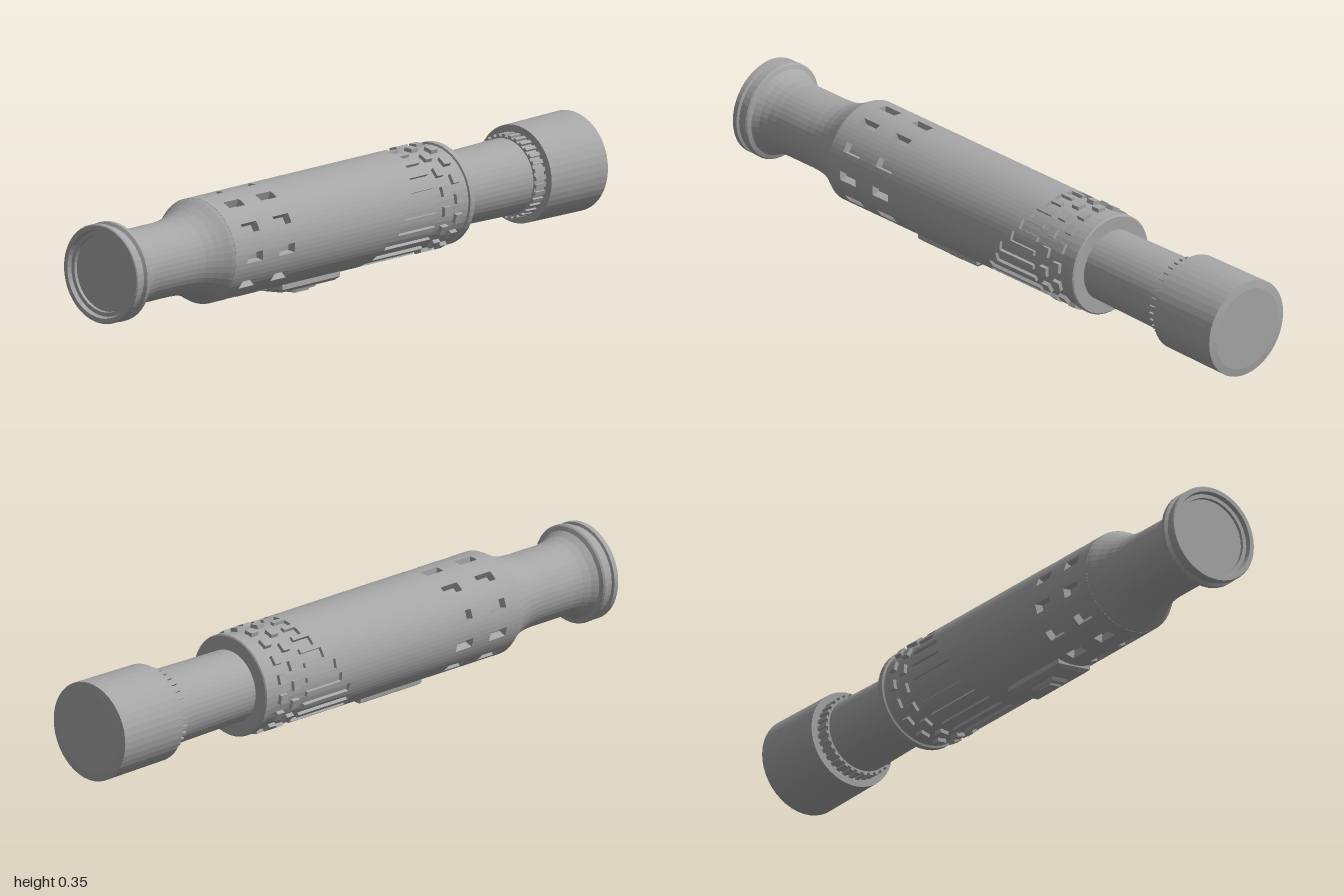
import * as THREE from 'three';

const AXIS_Y = 0.187;
const COLUMNS = 66;
const metal = new THREE.MeshStandardMaterial({ color: 0xa6a6a6 });
metal.name = 'grey metal';

function flat(geometry) {
  const g = geometry.index ? geometry.toNonIndexed() : geometry;
  g.computeVertexNormals();
  return g;
}

function add(parent, name, geometry) {
  const mesh = new THREE.Mesh(flat(geometry), metal);
  mesh.name = name;
  parent.add(mesh);
  return mesh;
}

// Turned part along z; profile is [z, radius] from back to front
function turned(profile, sides = 44) {
  const points = profile.map(([z, r]) => new THREE.Vector2(r, z));
  return new THREE.LatheGeometry(points, sides).rotateX(Math.PI / 2);
}

// Sleeve made of cells, each with its own radius, and walls between them
function sleeve(zs, radius, base) {
  const pos = [];
  const p = (i, z, r) => {
    const a = (i / COLUMNS) * Math.PI * 2;
    return [r * Math.sin(a), r * Math.cos(a), z];
  };
  const quad = (a, b, c, d) => pos.push(...a, ...b, ...c, ...a, ...c, ...d);
  const last = zs.length - 1;
  const cell = (i, k) => (k < 0 || k >= last ? base : radius(i % COLUMNS, (zs[k] + zs[k + 1]) / 2));
  for (let i = 0; i < COLUMNS; i++) {
    for (let k = -1; k < last; k++) {
      const r = cell(i, k), side = cell(i + 1, k), next = cell(i, k + 1);
      const z0 = zs[k], z1 = zs[k + 1];
      if (k >= 0) {
        quad(p(i, z0, r), p(i, z1, r), p(i + 1, z1, r), p(i + 1, z0, r));
        if (r !== side) quad(p(i + 1, z0, r), p(i + 1, z1, r), p(i + 1, z1, side), p(i + 1, z0, side));
      }
      if (r !== next) quad(p(i, z1, next), p(i + 1, z1, next), p(i + 1, z1, r), p(i, z1, r));
    }
  }
  const g = new THREE.BufferGeometry();
  g.setAttribute('position', new THREE.Float32BufferAttribute(pos, 3));
  return g;
}

// Box hanging below the axis, between two radii, narrowed at its lower face
function taperedPad(width, length, rTop, rBottom, taperX, taperZ) {
  const g = new THREE.BoxGeometry(width, rBottom - rTop, length);
  const v = g.attributes.position;
  for (let i = 0; i < v.count; i++) {
    if (v.getY(i) < 0) {
      v.setX(i, v.getX(i) * taperX);
      v.setZ(i, v.getZ(i) * taperZ);
    }
  }
  return g.translate(0, -(rTop + rBottom) / 2, 0);
}

export function createModel() {
  const model = new THREE.Group();
  model.name = 'handle';
  const core = new THREE.Group();
  core.name = 'barrel';
  core.position.y = AXIS_Y;
  model.add(core);

  // Rear cap and the neck leading to it
  add(core, 'rearCap', turned([
    [-1, 0], [-1, 0.125], [-0.996, 0.149], [-0.76, 0.146], [-0.76, 0.1],
  ]));
  add(core, 'ribbedCollar', sleeve([-0.765, -0.718], (i) => (i % 2 ? 0.125 : 0.118), 0.105));
  add(core, 'rearNeck', turned([[-0.77, 0.113], [-0.7, 0.113], [-0.42, 0.108]]));

  // Stud ring with its flange
  add(core, 'studRing', turned([
    [-0.43, 0.1], [-0.43, 0.149], [-0.427, 0.153], [-0.408, 0.153],
    [-0.406, 0.147], [-0.26, 0.147],
  ]));
  const studs = new THREE.Group();
  studs.name = 'studs';
  core.add(studs);
  [-0.308, -0.36].forEach((z, row) => {
    for (let i = 0; i < 16; i++) {
      const angle = ((i + row / 2) / 16) * Math.PI * 2 + 0.07;
      const stud = new THREE.BoxGeometry(0.029, 0.02, 0.027);
      stud.translate(0, 0.148, z).rotateZ(-angle);
      add(studs, 'stud', stud);
    }
  });

  // Main grip: two rows of pockets, and rear flutes that lengthen underneath
  const gripZs = [-0.265];
  for (let n = 0; n <= 10; n++) gripZs.push(-0.225 + n * 0.0195);
  gripZs.push(0.34, 0.405, 0.475, 0.54, 0.59);
  const grip = (i, z) => {
    const pocketColumn = i % 6 >= 4;
    const pocketRow = (z > 0.34 && z < 0.405) || (z > 0.475 && z < 0.54);
    if (pocketColumn && pocketRow) return 0.13;
    const centre = ((Math.floor(i / 3) * 3 + 1) / COLUMNS) * Math.PI * 2;
    const fluteEnd = -0.127 - 0.1 * Math.cos(centre);
    return i % 3 !== 2 && z < fluteEnd ? 0.146 : 0.156;
  };
  add(core, 'grip', sleeve(gripZs, grip, 0.14));

  // Front shoulder, waist and rimmed nozzle with a sunken end disc
  add(core, 'frontNozzle', turned([
    [0.589, 0.156], [0.6, 0.151], [0.62, 0.139], [0.645, 0.127], [0.675, 0.117],
    [0.705, 0.112], [0.74, 0.11], [0.86, 0.11], [0.89, 0.113], [0.915, 0.12],
    [0.935, 0.132], [0.94, 0.144], [0.945, 0.148], [0.957, 0.148], [0.963, 0.139],
    [0.979, 0.139], [0.982, 0.147], [0.997, 0.147], [1, 0.144], [1, 0.131],
    [0.987, 0.127], [0.987, 0.115], [0.978, 0.114], [0.978, 0],
  ]));

  // Switch under the grip, turned slightly toward the left side
  const button = new THREE.Group();
  button.name = 'switch';
  button.position.z = 0.18;
  button.rotation.z = 0.09;
  core.add(button);
  add(button, 'switchBase', taperedPad(0.114, 0.245, 0.135, 0.16, 1, 1));
  add(button, 'switchPlate', taperedPad(0.114, 0.245, 0.16, 0.17, 0.75, 0.92));
  add(button, 'switchRaise', taperedPad(0.06, 0.11, 0.165, 0.18, 0.8, 0.85));
  add(button, 'switchKey', taperedPad(0.04, 0.06, 0.175, 0.186, 0.9, 0.9));

  return model;
}
